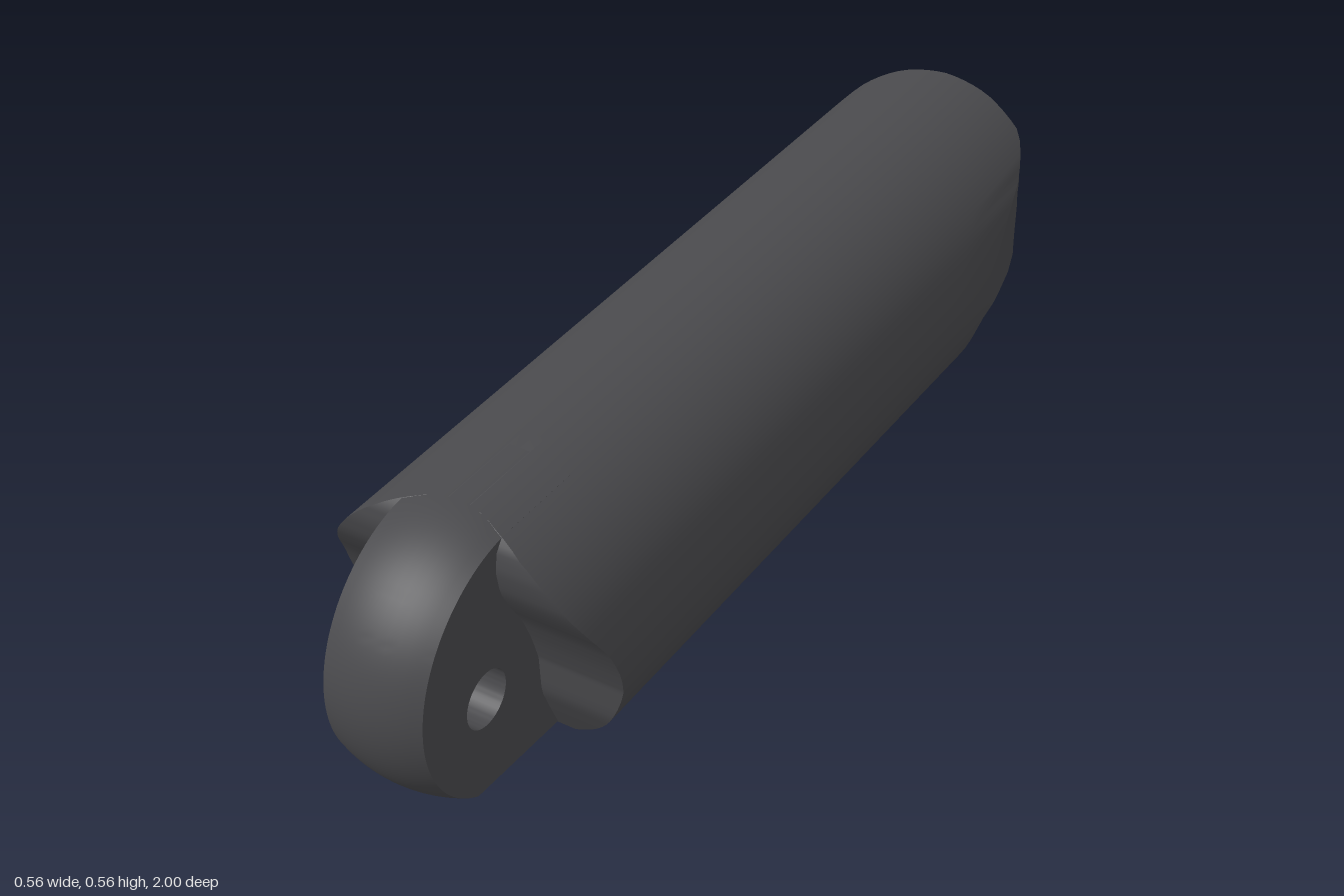
import * as THREE from 'three';
import { toCreasedNormals } from 'three/addons/utils/BufferGeometryUtils.js';

const R = 0.2775; // radius of the barrel, which lies along z

// Linear interpolation in a short list of [key, value] pairs
function lookup(table, k) {
  for (let i = 1; i < table.length; i++) {
    const [k0, v0] = table[i - 1], [k1, v1] = table[i];
    if (k <= k1) return v0 + (v1 - v0) * Math.max(0, (k - k0) / (k1 - k0));
  }
  return table[table.length - 1][1];
}

// Front shoulder: z for each height
const shoulder = [[0, 0.56], [0.035, 0.56], [0.0352, 0.61], [0.08, 0.63], [0.14, 0.655], [0.22, 0.66],
  [0.27, 0.675], [0.33, 0.7], [0.39, 0.737], [0.43, 0.757], [0.48, 0.766], [0.515, 0.76], [0.54, 0.742], [0.555, 0.72]];
// Rear undercut: z for each height
const undercut = [[0, -0.655], [0.17, -0.655], [0.2, -0.662], [0.22, -0.677], [0.23, -0.7], [0.2302, -0.93], [0.3, -1], [0.555, -1]];
// Rounded rear end in plan: z for each distance from the centre line
const nose = [[0, -1], [0.1, -0.993], [0.18, -0.975], [0.2, -0.955], [0.219, -0.92], [0.238, -0.87], [0.254, -0.8], [0.268, -0.74], [0.2775, -0.67]];

// Barrel lofted from horizontal slices
function barrelGeometry() {
  const levels = [0.035, 0.0352, 0.2, 0.22, 0.23, 0.2302, 0.3];
  for (let i = 0; i <= 40; i++) levels.push(R - R * Math.cos(Math.PI * i / 40));
  levels.sort((a, b) => a - b);
  const SIDE = 8, BACK = 20, pos = [], index = [];
  let n = 0;
  levels.forEach((y, row) => {
    const w = Math.sqrt(Math.max(0, R * R - (y - R) ** 2));
    const front = lookup(shoulder, y);
    const rear = x => Math.max(lookup(nose, Math.abs(x)), lookup(undercut, y));
    const loop = [];
    for (let i = 0; i < SIDE; i++) loop.push([w, front + (rear(w) - front) * i / SIDE]);
    for (let i = 0; i <= BACK; i++) {
      const x = w * Math.cos(Math.PI * i / BACK);
      loop.push([x, rear(x)]);
    }
    for (let i = SIDE - 1; i >= 0; i--) loop.push([-w, front + (rear(w) - front) * i / SIDE]);
    n = loop.length;
    loop.forEach(([x, z]) => pos.push(x, y, z));
    if (row === 0) return;
    for (let i = 0; i < n; i++) {
      const j = (i + 1) % n, a = (row - 1) * n, b = row * n;
      index.push(a + i, a + j, b + j, a + i, b + j, b + i);
    }
  });
  const g = new THREE.BufferGeometry();
  g.setAttribute('position', new THREE.Float32BufferAttribute(pos, 3));
  g.setIndex(index);
  return toCreasedNormals(g, 0.6);
}

// Slab with an eye hole, its rim crowned to follow the barrel's roundness
function lugGeometry() {
  const cz = 0.7225, low = 0.035;
  const end = -Math.asin((R - low) / R);
  const s = new THREE.Shape();
  s.moveTo(0.55, low);
  s.lineTo(cz + R * Math.cos(end), low);
  s.absarc(cz, R, R, end, Math.PI / 2, false);
  s.lineTo(0.55, 2 * R);
  s.closePath();
  const hole = new THREE.Path();
  hole.absarc(0.81, 0.24, 0.055, 0, Math.PI * 2, true);
  s.holes.push(hole);
  const g = new THREE.ExtrudeGeometry(s, { depth: 0.2, steps: 10, bevelEnabled: false, curveSegments: 32 });
  g.translate(0, 0, -0.1).rotateY(-Math.PI / 2);
  const p = g.attributes.position;
  for (let i = 0; i < p.count; i++) {
    const x = p.getX(i), y = p.getY(i), z = p.getZ(i);
    const r = Math.sqrt(R * R - x * x);
    const dz = Math.max(0, z - cz), dy = y - R;
    const k = Math.min(1, r / (Math.hypot(dz, dy) || 1));
    p.setY(i, Math.max(low, R + dy * k));
    if (dz > 0) p.setZ(i, cz + dz * k);
  }
  g.deleteAttribute('normal');
  g.deleteAttribute('uv');
  return toCreasedNormals(g, 0.6);
}

export function createModel() {
  const group = new THREE.Group();
  const darkGrey = new THREE.MeshStandardMaterial({ color: 0x4a4a4d });
  darkGrey.name = 'dark grey';
  const add = (name, geometry) => {
    const mesh = new THREE.Mesh(geometry, darkGrey);
    mesh.name = name;
    group.add(mesh);
    return mesh;
  };

  add('barrel', barrelGeometry());
  add('pivotLug', lugGeometry());
  // Short pin hanging under the rear overhang
  add('pin', new THREE.CylinderGeometry(0.063, 0.063, 0.165, 24)).position.set(0, 0.1775, -0.805);
  return group;
}
